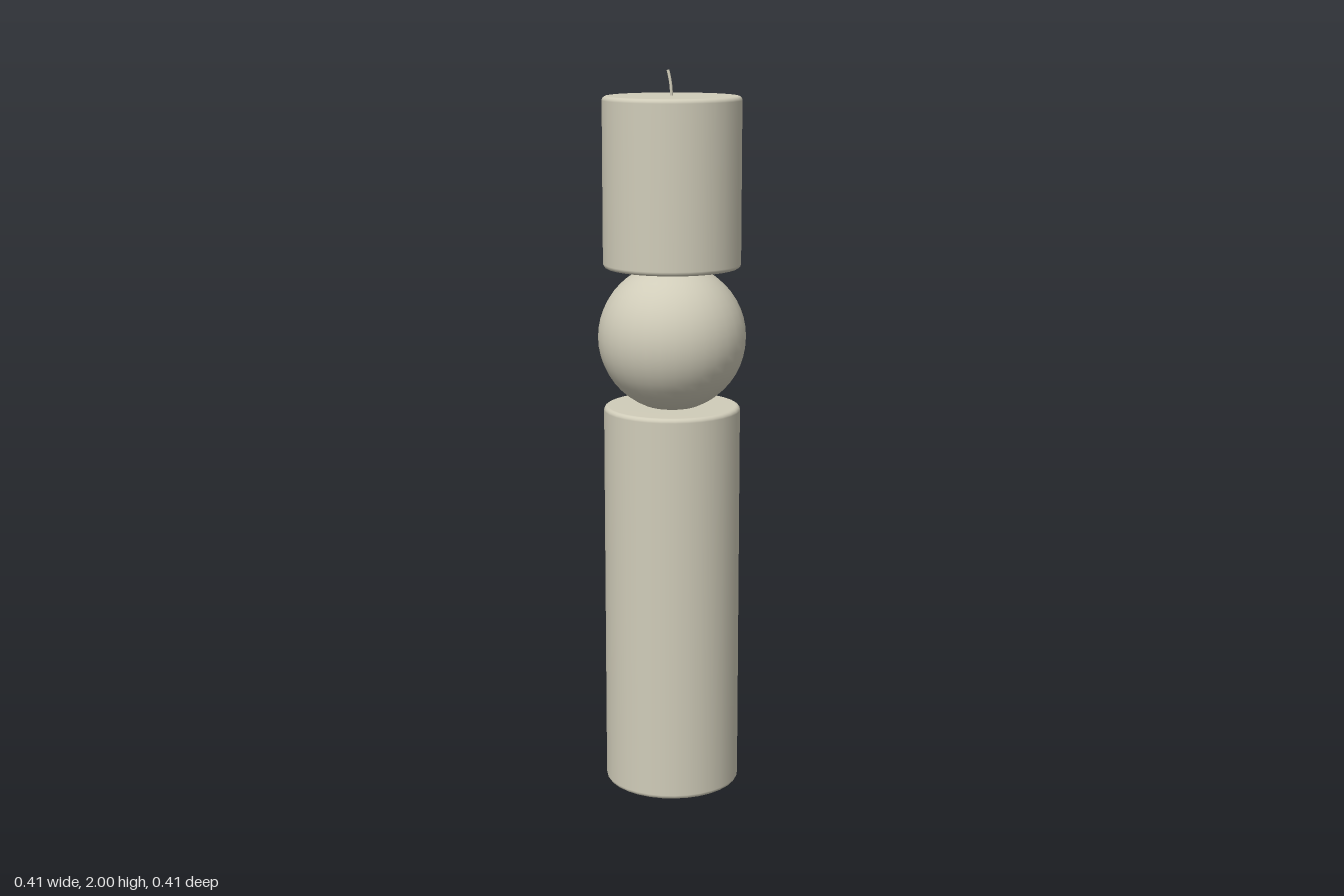
import * as THREE from 'three';

const WAX = new THREE.MeshStandardMaterial({ color: 0xd0ccb9 });

// Closed pillar with softly rounded rims, standing from y0 to y1
function pillar(name, y0, y1, radius = 0.188, bevel = 0.012) {
  const points = [new THREE.Vector2(0, y0)];
  const steps = 4;
  for (let i = 0; i <= steps; i++) {
    const a = (i / steps) * Math.PI / 2;
    points.push(new THREE.Vector2(radius - bevel + bevel * Math.sin(a), y0 + bevel - bevel * Math.cos(a)));
  }
  for (let i = 0; i <= steps; i++) {
    const a = (i / steps) * Math.PI / 2;
    points.push(new THREE.Vector2(radius - bevel + bevel * Math.cos(a), y1 - bevel + bevel * Math.sin(a)));
  }
  points.push(new THREE.Vector2(0, y1));
  const mesh = new THREE.Mesh(new THREE.LatheGeometry(points, 32), WAX);
  mesh.name = name;
  return mesh;
}

export function createModel() {
  const group = new THREE.Group();
  group.name = 'pillarCandle';

  // Tall lower pillar and short upper pillar
  group.add(pillar('lowerPillar', 0, 1.09));
  group.add(pillar('upperPillar', 1.472, 1.932));

  // Ball between the pillars, slightly sunk into both
  const ball = new THREE.Mesh(new THREE.SphereGeometry(0.203, 32, 24), WAX);
  ball.name = 'ball';
  ball.position.y = 1.281;
  group.add(ball);

  // Thin wick leaning to one side, with a closed tip
  const curve = new THREE.CatmullRomCurve3([
    new THREE.Vector3(-0.005, 1.92, -0.005),
    new THREE.Vector3(-0.006, 1.95, -0.005),
    new THREE.Vector3(-0.010, 1.976, -0.005),
    new THREE.Vector3(-0.016, 1.999, -0.005),
  ]);
  const wick = new THREE.Group();
  wick.name = 'wick';
  const stem = new THREE.Mesh(new THREE.TubeGeometry(curve, 12, 0.004, 8), WAX);
  stem.name = 'wickStem';
  const tip = new THREE.Mesh(new THREE.CircleGeometry(0.004, 8), WAX);
  tip.name = 'wickTip';
  tip.position.copy(curve.getPoint(1));
  tip.quaternion.setFromUnitVectors(new THREE.Vector3(0, 0, 1), curve.getTangent(1));
  wick.add(stem, tip);
  group.add(wick);

  return group;
}
